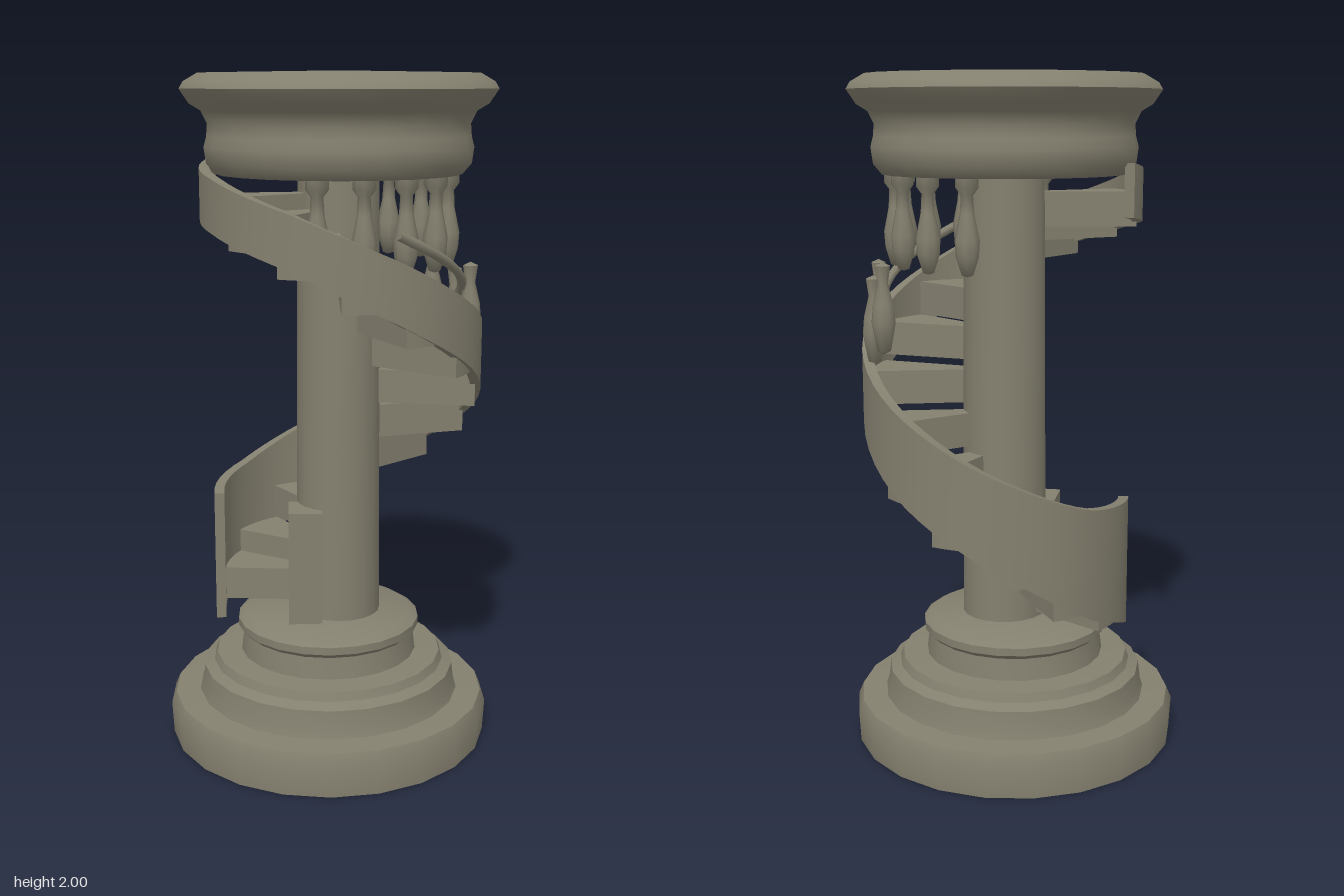
import * as THREE from 'three';
import { toCreasedNormals } from 'three/addons/utils/BufferGeometryUtils.js';

const stone = new THREE.MeshStandardMaterial({ color: 0x84806f });
stone.name = 'weathered stone';
const CX = 0.03; // axis of column, stair and capital
const rad = THREE.MathUtils.degToRad;

function add(group, name, geometry, x = 0, y = 0, z = 0) {
  const mesh = new THREE.Mesh(geometry, stone);
  mesh.name = name;
  mesh.position.set(x, y, z);
  group.add(mesh);
  return mesh;
}

function turned(profile, sides, crease = 0.7) {
  const pts = profile.map(([r, y]) => new THREE.Vector2(r, y));
  return toCreasedNormals(new THREE.LatheGeometry(pts, sides), crease);
}

// Stair wall section (radius, bottom, top) every 42 degrees, from the top down
const START = 195, SWEEP = 378;
const wall = new THREE.CatmullRomCurve3([
  [0.40, 1.60, 1.75], [0.40, 1.56, 1.71], [0.395, 1.48, 1.63], [0.405, 1.34, 1.51],
  [0.42, 1.18, 1.36], [0.42, 0.99, 1.21], [0.41, 0.80, 1.05], [0.40, 0.63, 0.90],
  [0.39, 0.46, 0.79], [0.375, 0.36, 0.76],
].map((p) => new THREE.Vector3(...p)));
const wallAt = (deg) => wall.getPoint((START - deg) / SWEEP);

// Rectangular section swept along the spiral
function spiralWall(thickness, steps) {
  const pos = [], idx = [];
  for (let i = 0; i <= steps; i++) {
    const deg = START - (SWEEP * i) / steps;
    const { x: r, y: lo, z: hi } = wallAt(deg);
    const c = Math.cos(rad(deg)), s = Math.sin(rad(deg)), q = r - thickness;
    pos.push(r * c, lo, r * s, r * c, hi, r * s, q * c, hi, q * s, q * c, lo, q * s);
    if (i === steps) break;
    for (let k = 0; k < 4; k++) {
      const a = i * 4 + k, b = i * 4 + ((k + 1) % 4);
      idx.push(a, a + 4, b + 4, a, b + 4, b);
    }
  }
  const e = steps * 4;
  idx.push(0, 1, 2, 0, 2, 3, e, e + 2, e + 1, e, e + 3, e + 2);
  const g = new THREE.BufferGeometry();
  g.setAttribute('position', new THREE.Float32BufferAttribute(pos, 3));
  g.setIndex(idx);
  return toCreasedNormals(g, 0.7);
}

// Wedge tread whose top lies at y = 0
function tread(from, to, outer, depth) {
  const shape = new THREE.Shape();
  shape.absarc(0, 0, outer, rad(from), rad(to), false);
  shape.absarc(0, 0, 0.09, rad(to), rad(from), true);
  const g = new THREE.ExtrudeGeometry(shape, { depth, bevelEnabled: false, curveSegments: 4 });
  return g.rotateX(Math.PI / 2);
}

export function createModel() {
  const model = new THREE.Group();
  model.name = 'spiralStairColumn';

  // Stepped round base
  add(model, 'base', turned([
    [0, 0.005], [0.485, 0.005], [0.49, 0.10], [0.475, 0.135], [0.40, 0.14],
    [0.392, 0.165], [0.385, 0.22], [0.355, 0.235], [0.345, 0.26], [0.27, 0.265],
    [0.262, 0.33], [0.278, 0.345], [0.278, 0.368], [0.25, 0.385], [0, 0.395],
  ], 22));

  // Central column and the small door slab at its foot
  add(model, 'column', toCreasedNormals(
    new THREE.CylinderGeometry(0.118, 0.128, 1.38, 20), 0.7), CX, 1.06, 0);
  add(model, 'doorSlab', new THREE.BoxGeometry(0.1, 0.36, 0.12), -0.07, 0.555, 0.085);

  // Moulded capital
  add(model, 'capital', turned([
    [0, 1.715], [0.355, 1.715], [0.38, 1.745], [0.386, 1.79], [0.378, 1.82],
    [0.375, 1.855], [0.392, 1.89], [0.425, 1.91], [0.452, 1.95], [0.44, 1.97],
    [0.40, 1.993], [0, 2.0],
  ], 22, 0.9), CX, 0, 0);

  // Spiral stair
  const stair = new THREE.Group();
  stair.name = 'stair';
  stair.position.x = CX;
  model.add(stair);
  add(stair, 'stairWall', spiralWall(0.03, 54));
  const count = 13, pitch = 345 / count;
  for (let i = 0; i < count; i++) {
    const from = -176 + i * pitch;
    const { x: r, y: lo } = wallAt(from + pitch / 2);
    add(stair, 'tread', tread(from, from + pitch + 1, r - 0.015, 0.1), 0, lo + 0.1, 0);
  }

  // Balusters hanging beneath the capital
  const baluster = turned([
    [0, -0.27], [0.016, -0.265], [0.032, -0.215], [0.035, -0.17], [0.02, -0.1],
    [0.017, -0.05], [0.032, -0.03], [0.032, 0.01],
  ], 8, 1.2);
  for (let i = 0; i < 9; i++) {
    const a = rad(102 - i * 23);
    add(stair, 'baluster', baluster, 0.315 * Math.cos(a), 1.72, 0.315 * Math.sin(a));
  }

  // Lower balusters standing on the open side of the stair
  const spindle = turned([
    [0, 0], [0.02, 0.01], [0.035, 0.09], [0.03, 0.14], [0.015, 0.2], [0.022, 0.25], [0, 0.26],
  ], 8, 1.2);
  for (const [deg, r, y] of [[-40, 0.39, 1.22], [-22, 0.385, 1.17], [2, 0.385, 1.2]]) {
    const a = rad(deg);
    add(stair, 'lowerBaluster', spindle, r * Math.cos(a), y, r * Math.sin(a));
  }

  // Thin sloping handrail
  const rail = [];
  for (let i = 0; i <= 6; i++) {
    const a = rad(65 - i * 16);
    rail.push(new THREE.Vector3(0.36 * Math.cos(a), 1.57 - i * 0.046, 0.36 * Math.sin(a)));
  }
  add(stair, 'handrail', new THREE.TubeGeometry(new THREE.CatmullRomCurve3(rail), 20, 0.014, 6));

  return model;
}
